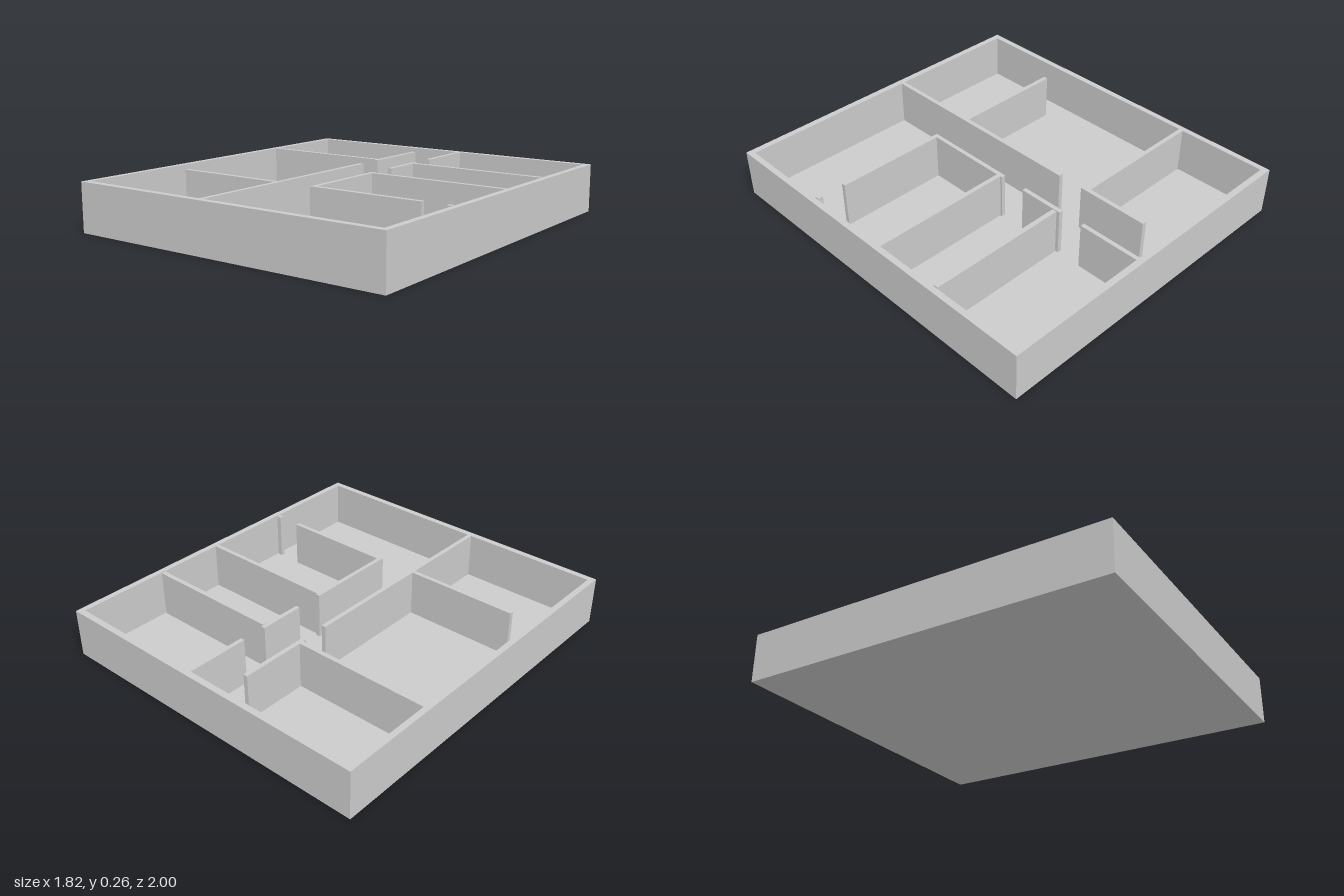
import * as THREE from 'three';

const HEIGHT = 0.263, FLOOR = 0.01;

export function createModel() {
  const model = new THREE.Group();
  model.name = 'floorPlan';
  const material = new THREE.MeshStandardMaterial({ color: 0xcccccc });

  // Box spanning the given plan rectangle between two heights
  function block(name, x0, x1, z0, z1, y0 = FLOOR, y1 = HEIGHT) {
    const mesh = new THREE.Mesh(new THREE.BoxGeometry(x1 - x0, y1 - y0, z1 - z0), material);
    mesh.position.set((x0 + x1) / 2, (y0 + y1) / 2, (z0 + z1) / 2);
    mesh.name = name;
    model.add(mesh);
  }

  // Outer walls: one rectangular ring, drawn counter-clockwise
  const rectangle = (path, x0, x1, z0, z1) =>
    path.moveTo(x0, -z1).lineTo(x1, -z1).lineTo(x1, -z0).lineTo(x0, -z0).closePath();
  const ring = rectangle(new THREE.Shape(), -0.912, 0.912, -1, 1);
  ring.holes.push(rectangle(new THREE.Path(), -0.88, 0.88, -0.966, 0.966));
  const ringGeometry = new THREE.ExtrudeGeometry(ring, { depth: HEIGHT, bevelEnabled: false });
  ringGeometry.rotateX(-Math.PI / 2);
  const outerWalls = new THREE.Mesh(ringGeometry, material);
  outerWalls.name = 'outerWalls';
  model.add(outerWalls);

  // Floor slab inside the ring
  block('floor', -0.88, 0.88, -0.966, 0.966, 0, FLOOR);

  // Corridor walls, running front to back with door gaps
  block('rightCorridorWallBack', -0.137, -0.113, -0.822, -0.427);
  block('rightCorridorWallFront', -0.134, -0.11, -0.284, 0.966);
  block('leftCorridorWallBack', 0.085, 0.108, -0.966, -0.624);
  block('leftCorridorWallMiddle', 0.085, 0.108, -0.486, -0.236);
  block('leftCorridorWallFront', 0.085, 0.108, -0.088, 0.435);

  // Room dividers, running side to side
  block('rightBackDivider', -0.88, -0.137, -0.471, -0.447);
  block('rightFrontDivider', -0.753, -0.134, 0.417, 0.441);
  block('leftBackDivider', 0.112, 0.875, -0.471, -0.445);
  block('leftMiddleDivider', 0.108, 0.88, -0.077, -0.053);
  block('leftFrontDivider', 0.108, 0.717, 0.411, 0.435);

  // Post beside the doorway of the left front divider
  block('doorPost', 0.848, 0.875, 0.414, 0.438);

  return model;
}
